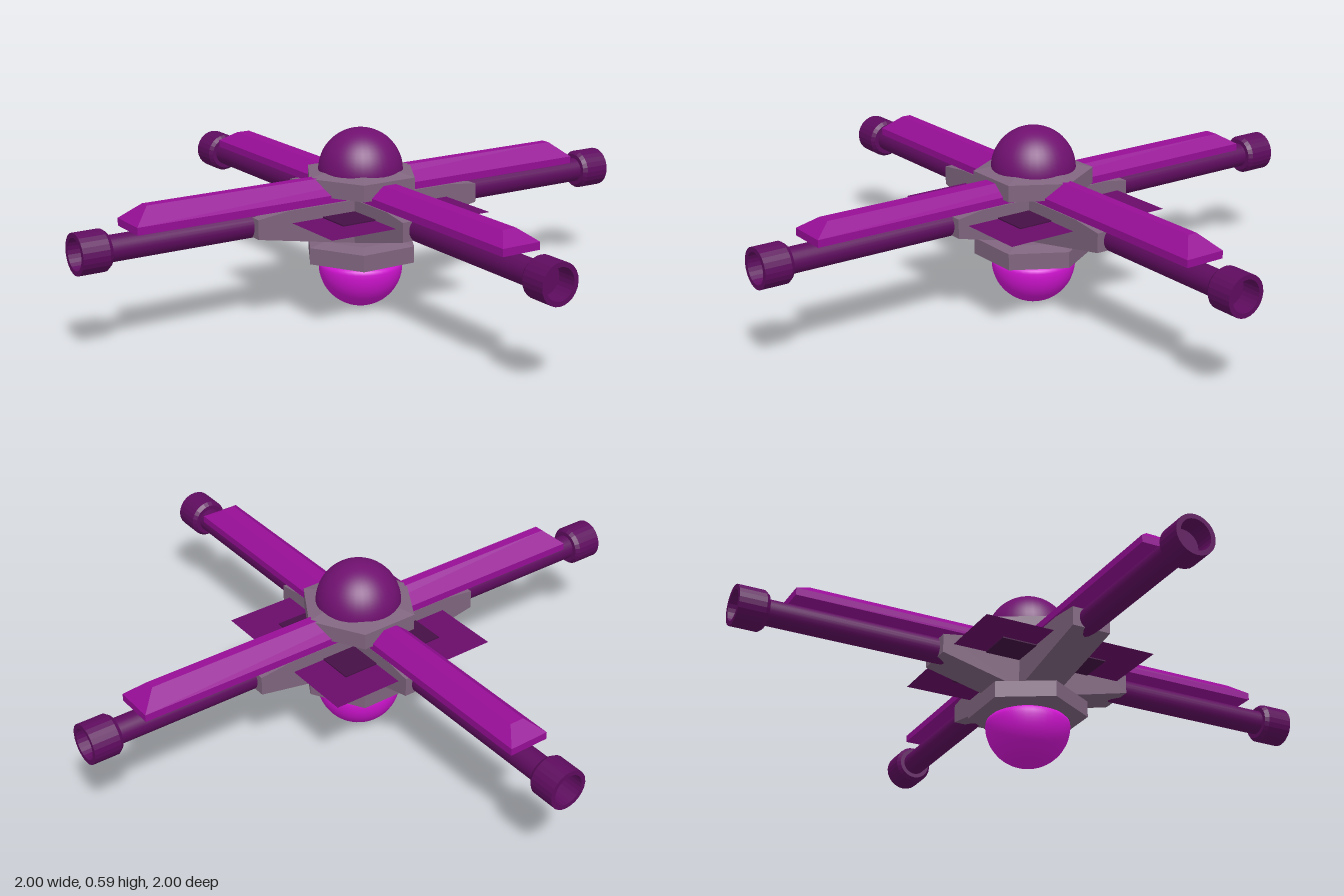
import * as THREE from 'three';

const paint = (color, extra = {}) => {
  const m = new THREE.MeshStandardMaterial({ color, ...extra });
  return m;
};
const v2 = (pts) => pts.map(([x, y]) => new THREE.Vector2(x, y));

export function createModel() {
  const model = new THREE.Group();
  const cover = paint(0x960e96, { flatShading: true });
  const barrel = paint(0x5e0c5e);
  const grey = paint(0x80657f, { flatShading: true });
  const plateMat = paint(0x6a0c6a, { side: THREE.DoubleSide });
  const darkPlate = paint(0x451045);

  const add = (name, geometry, material, parent = model) => {
    const mesh = new THREE.Mesh(geometry, material);
    mesh.name = name;
    parent.add(mesh);
    return mesh;
  };

  // Domes above and below the hub
  const dome = (name, y, flip, color) => {
    const pts = [[0, -0.02], [0.125, -0.02], [0.135, -0.01]];
    for (let i = 0; i <= 16; i++) {
      const a = (i / 16) * Math.PI / 2;
      pts.push([0.137 * Math.cos(a), 0.137 * Math.sin(a)]);
    }
    const mesh = add(name, new THREE.LatheGeometry(v2(pts), 36), paint(color));
    mesh.position.y = y;
    if (flip) mesh.rotation.x = Math.PI;
  };
  dome('upperDome', 0.455, false, 0x701070);
  dome('lowerDome', 0.137, true, 0xd414d4);

  // Hexagonal collars with bevelled rims, corners pointing along x
  const collarPts = [[0, -0.04], [0.14, -0.04], [0.193, -0.028], [0.193, 0.026], [0.14, 0.038], [0, 0.038]];
  for (const [name, y] of [['upperCollar', 0.423], ['lowerCollar', 0.195]]) {
    const g = new THREE.LatheGeometry(v2(collarPts), 6);
    g.rotateY(Math.PI / 2);
    add(name, g, grey).position.y = y;
  }

  // Thin square panels at mid height
  const panel = new THREE.PlaneGeometry(0.595, 0.595);
  panel.rotateX(-Math.PI / 2);
  add('widePanel', panel, plateMat).position.y = 0.335;
  add('innerPanel', new THREE.BoxGeometry(0.37, 0.008, 0.37), darkPlate).position.y = 0.335;

  // Long roof covers: box with its top edge pulled in to a narrow ridge
  const makeCover = (name, top, ridge, turn) => {
    const g = new THREE.BoxGeometry(1.655, 2, 0.134, 1, 2, 1);
    const p = g.attributes.position;
    for (let i = 0; i < p.count; i++) {
      const level = p.getY(i);
      if (level > 0.5) {
        p.setXYZ(i, Math.sign(p.getX(i)) * 0.77, top, Math.sign(p.getZ(i)) * ridge);
      } else {
        p.setY(i, level < -0.5 ? 0.379 : 0.403);
      }
    }
    g.computeVertexNormals();
    add(name, g, cover).rotation.y = turn;
  };
  makeCover('sideCover', 0.451, 0.016, 0);
  makeCover('frontBackCover', 0.438, 0.024, Math.PI / 2);

  // Tapered brackets under the covers
  const makeBracket = (name, reach, turn) => {
    const s = new THREE.Shape(v2([
      [-reach, 0.3], [-0.07, 0.235], [0.07, 0.235], [reach, 0.3],
      [reach, 0.363], [reach * 0.74, 0.376], [-reach * 0.74, 0.376], [-reach, 0.363],
    ]));
    const g = new THREE.ExtrudeGeometry(s, { depth: 0.13, bevelEnabled: false });
    g.translate(0, 0, -0.065);
    add(name, g, grey).rotation.y = turn;
  };
  makeBracket('sideBracket', 0.418, 0);
  makeBracket('frontBackBracket', 0.334, Math.PI / 2);

  // Four barrels with hollow end sleeves
  const sleevePts = v2([[0.04, 0.9], [0.055, 0.9], [0.065, 0.913], [0.065, 1], [0.05, 1], [0.05, 0.935], [0, 0.935]]);
  for (let i = 0; i < 4; i++) {
    const arm = new THREE.Group();
    arm.name = 'barrelArm' + (i + 1);
    const tube = new THREE.CylinderGeometry(0.041, 0.041, 0.92, 24);
    tube.translate(0, 0.46, 0);
    tube.rotateX(Math.PI / 2);
    add('barrel', tube, barrel, arm);
    const sleeve = new THREE.LatheGeometry(sleevePts, 24).toNonIndexed();
    sleeve.rotateX(Math.PI / 2);
    sleeve.computeVertexNormals();
    add('endSleeve', sleeve, barrel, arm);
    arm.position.y = 0.333;
    arm.rotation.y = i * Math.PI / 2;
    model.add(arm);
  }

  return model;
}
